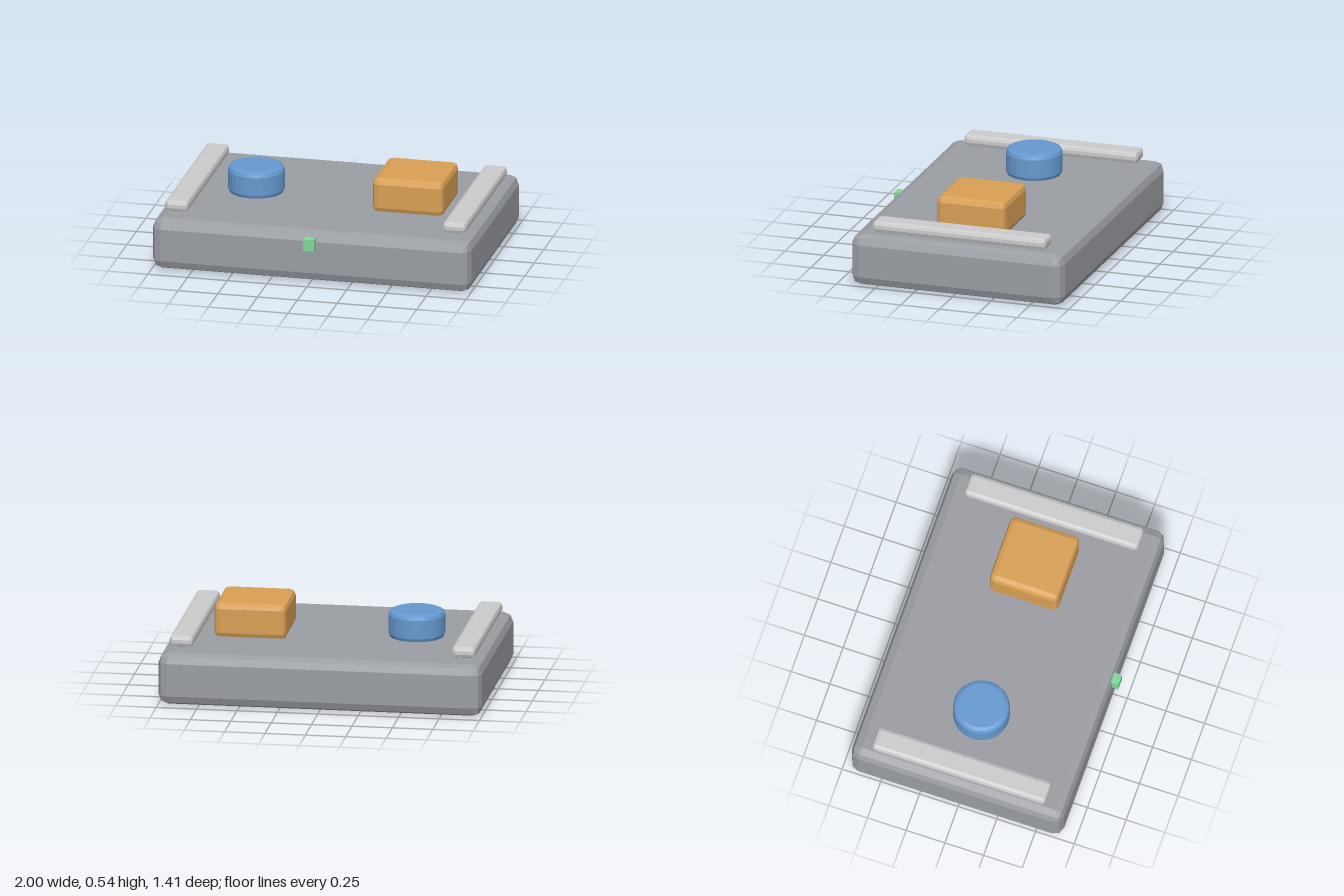
import * as THREE from 'three';
import { RoundedBoxGeometry } from 'three/addons/geometries/RoundedBoxGeometry.js';

export function createModel() {
  const group = new THREE.Group();
  const material = (color) => new THREE.MeshStandardMaterial({ color, flatShading: true });
  const grey = material(0xcccccc);
  const body = material(0x9a9da3);
  const orange = material(0xd9a055);
  const blue = material(0x6699d0);
  const green = material(0x80d898);

  function add(name, geometry, mat, x, y, z) {
    const mesh = new THREE.Mesh(geometry, mat);
    mesh.name = name;
    mesh.position.set(x, y, z);
    group.add(mesh);
  }

  // Slab with two-step bevelled edges
  add('baseSlab', new RoundedBoxGeometry(2, 0.325, 1.37, 1, 0.06), body, 0, 0.1625, -0.02);

  // Side rails, hovering just above the slab
  for (const [name, side] of [['leftRail', 1], ['rightRail', -1]]) {
    add(name, new RoundedBoxGeometry(0.146, 0.07, 1.12, 1, 0.024), grey, side * 0.873, 0.375, -0.02);
  }

  // Square block
  add('squareBlock', new RoundedBoxGeometry(0.445, 0.22, 0.445, 1, 0.035), orange, 0.5, 0.425, -0.02);

  // Round knob: profile with two-step bevels at both ends
  const r = 0.174, h = 0.175, b = 0.03, k = b * (1 - Math.SQRT1_2);
  const profile = [
    [0, 0], [r - b, 0], [r - k, k], [r, b],
    [r, h - b], [r - k, h - k], [r - b, h], [0, h],
  ].map(([x, y]) => new THREE.Vector2(x, y));
  add('roundKnob', new THREE.LatheGeometry(profile, 32), blue, -0.5, 0.315, -0.02);

  // Small indicator on the front face
  add('frontIndicator', new THREE.BoxGeometry(0.07, 0.075, 0.07), green, 0, 0.252, 0.67);

  return group;
}
